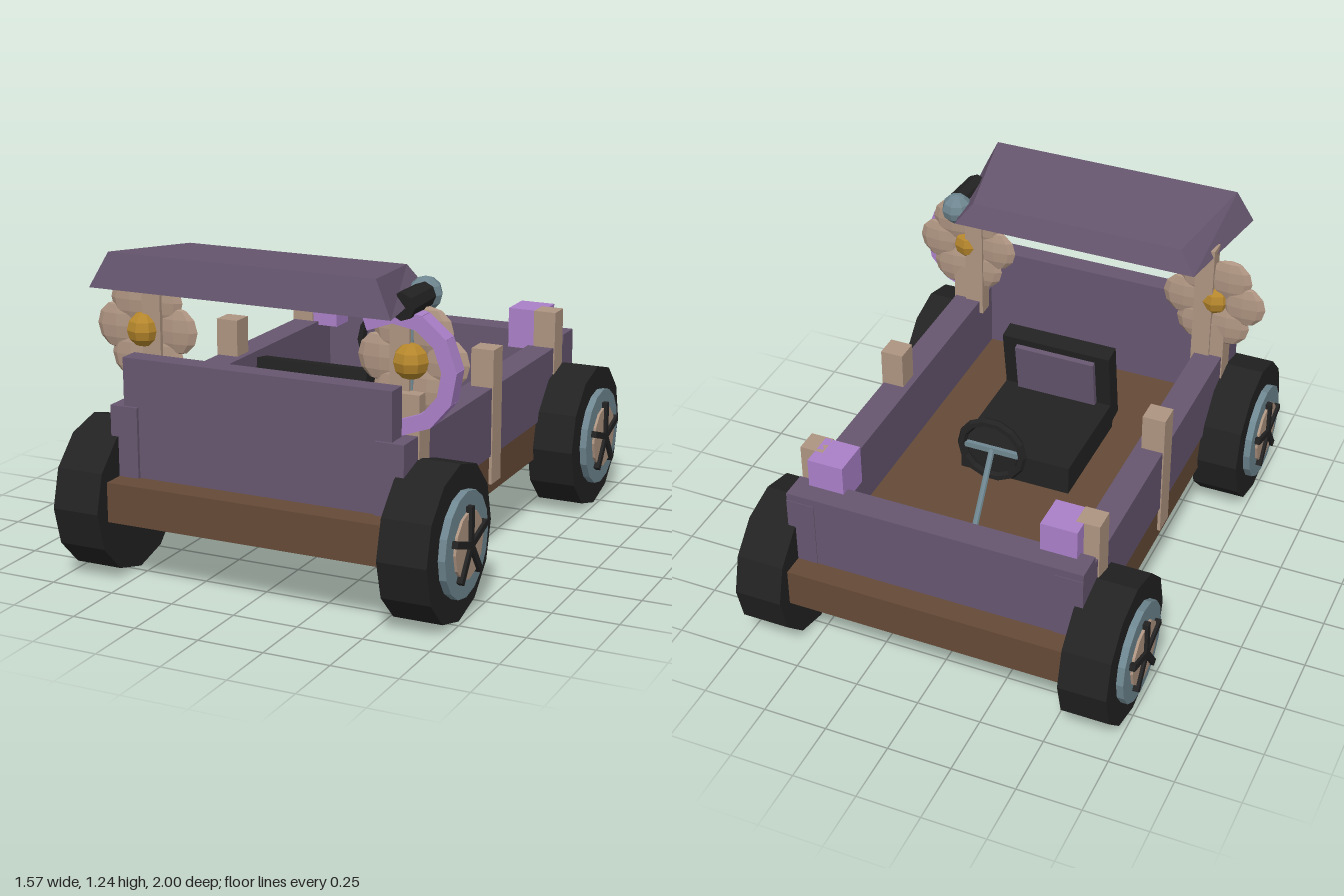
import * as THREE from 'three';

const mat = (name, color) => {
  const m = new THREE.MeshStandardMaterial({ color, flatShading: true });
  m.name = name;
  return m;
};

export function createModel() {
  const purple = mat('plum body', 0x66566f);
  const lilac = mat('lilac', 0xaa80c8);
  const tan = mat('tan wood', 0xae9481);
  const brown = mat('brown wood', 0x654a36);
  const black = mat('black rubber', 0x222222);
  const blue = mat('steel blue', 0x6f8791);
  const gold = mat('gold', 0xb5862c);
  const root = new THREE.Group();

  const add = (name, geo, material, pos = [0, 0, 0], parent = root) => {
    const m = new THREE.Mesh(geo, material);
    m.name = name;
    m.position.set(...pos);
    parent.add(m);
    return m;
  };
  // box given by its lower and upper limits on each axis
  const box = (name, material, [x0, x1], [y0, y1], [z0, z1]) =>
    add(name, new THREE.BoxGeometry(x1 - x0, y1 - y0, z1 - z0), material,
      [(x0 + x1) / 2, (y0 + y1) / 2, (z0 + z1) / 2]);
  // cylinder between two points
  const rod = (name, material, a, b, r0, r1 = r0, sides = 8) => {
    const p = new THREE.Vector3(...a), q = new THREE.Vector3(...b);
    const d = q.clone().sub(p);
    const m = add(name, new THREE.CylinderGeometry(r1, r0, d.length(), sides), material);
    m.position.copy(p).lerp(q, 0.5);
    m.quaternion.setFromUnitVectors(new THREE.Vector3(0, 1, 0), d.normalize());
    return m;
  };

  // Body tub
  box('chassis', brown, [-0.573, 0.573], [0.24, 0.39], [-0.93, 0.93]);
  box('frontPanel', purple, [-0.53, 0.53], [0.39, 0.835], [0.75, 0.83]);
  box('backPanel', purple, [-0.53, 0.53], [0.39, 0.685], [-0.84, -0.73]);

  for (const s of [-1, 1]) {
    const side = s > 0 ? 'left' : 'right';
    const span = (a, b) => (s > 0 ? [a, b] : [-b, -a]);
    box(side + 'Wall', purple, span(0.47, 0.58), [0.39, 0.655], [-0.843, 0.843]);

    // Wooden posts along the walls
    for (const z of [-0.66, 0, 0.68]) {
      box(side + 'Post', tan, span(0.495, 0.585), [0.28, 0.8], [z - 0.045, z + 0.045]);
    }
    box(side + 'RoofPost', tan, span(0.455, 0.53), [0.6, 1.14], [0.625, 0.69]);
    rod(side + 'ThinRod', blue, [s * 0.53, 0.75, 0.67], [s * 0.53, 1.05, 0.67], 0.008);
    box(side + 'BackBlock', lilac, span(0.385, 0.525), [0.64, 0.8], [-0.765, -0.62]);

    // Flower on the roof post
    const flower = new THREE.Group();
    flower.name = side + 'Flower';
    flower.position.set(s * 0.53, 0.905, 0.655);
    root.add(flower);
    for (let i = 0; i < 6; i++) {
      const a = (i * Math.PI) / 3;
      add('petal', new THREE.SphereGeometry(0.09, 8, 6), tan,
        [0.12 * Math.cos(a), 0.12 * Math.sin(a), 0], flower).scale.z = 0.27;
    }
    add('flowerCentre', new THREE.SphereGeometry(0.066, 8, 6), gold, [0, 0, 0.02], flower);

    // Wheels
    for (const z of [-0.713, 0.713]) {
      const wheel = new THREE.Group();
      wheel.name = side + (z > 0 ? 'FrontWheel' : 'BackWheel');
      wheel.position.set(0, 0.287, z);
      root.add(wheel);
      const disc = (name, m, r, x0, x1, n) => {
        add(name, new THREE.CylinderGeometry(r, r, x1 - x0, n), m,
          [(s * (x0 + x1)) / 2, 0, 0], wheel).rotation.z = Math.PI / 2;
      };
      disc('tyre', black, 0.287, 0.55, 0.735, 12);
      disc('rim', blue, 0.193, 0.7, 0.762, 16);
      disc('hub', tan, 0.124, 0.73, 0.772, 12);
      for (let i = 0; i < 5; i++) {
        const a = (i * Math.PI * 2) / 5;
        const spoke = add('spoke', new THREE.BoxGeometry(0.03, 0.142, 0.026), black,
          [s * 0.769, 0.071 * Math.cos(a), 0.071 * Math.sin(a)], wheel);
        spoke.rotation.x = a;
      }
    }
  }
  // back wall ends out over the side walls
  box('backRail', purple, [-0.58, 0.58], [0.65, 0.685], [-0.84, -0.73]);

  // Roof: a box whose corners are moved to a sloped, tapered shape
  const roofGeo = new THREE.BoxGeometry(1, 1, 1);
  const p = roofGeo.attributes.position;
  for (let i = 0; i < p.count; i++) {
    const top = p.getY(i) > 0, front = p.getZ(i) > 0;
    const w = (front ? 0.58 : 0.5) - (top ? 0.066 : 0);
    const y = top ? (front ? 1.24 : 1.2) : 1.112;
    const z = front ? (top ? 0.928 : 0.955) : (top ? 0.5 : 0.468);
    p.setXYZ(i, Math.sign(p.getX(i)) * w, y, z);
  }
  roofGeo.computeVertexNormals();
  add('roof', roofGeo, purple);

  // Seat
  box('seatCushion', black, [-0.225, 0.225], [0.39, 0.51], [-0.1, 0.37]);
  const back = add('seatBack', new THREE.BoxGeometry(0.45, 0.34, 0.075), black, [0, 0.59, 0.37]);
  back.rotation.x = -0.15;
  add('seatBackPad', new THREE.BoxGeometry(0.33, 0.22, 0.025), purple, [0, 0.03, -0.047], back);

  // Steering wheel and column
  add('steeringWheel', new THREE.TorusGeometry(0.122, 0.018, 6, 14), black, [0, 0.685, -0.308]);
  rod('steeringColumn', blue, [0, 0.39, -0.505], [0, 0.69, -0.305], 0.012);
  box('steeringBar', blue, [-0.115, 0.115], [0.674, 0.696], [-0.317, -0.3]);

  // Horseshoe arc of blocks around the left flower
  for (let i = 0; i < 7; i++) {
    const a = THREE.MathUtils.degToRad(110 - i * 30);
    const block = add('arcBlock', new THREE.BoxGeometry(0.055, 0.115, 0.067), lilac,
      [0.505 + 0.19 * Math.cos(a), 0.88 + 0.19 * Math.sin(a), 0.713]);
    block.rotation.z = a;
  }

  // Black tube with a round blue end
  rod('tubeHandle', black, [0.535, 1.115, 0.77], [0.545, 1.125, 0.6], 0.05, 0.045);
  add('tubeBall', new THREE.SphereGeometry(0.062, 8, 6), blue, [0.535, 1.12, 0.567]);
  return root;
}
